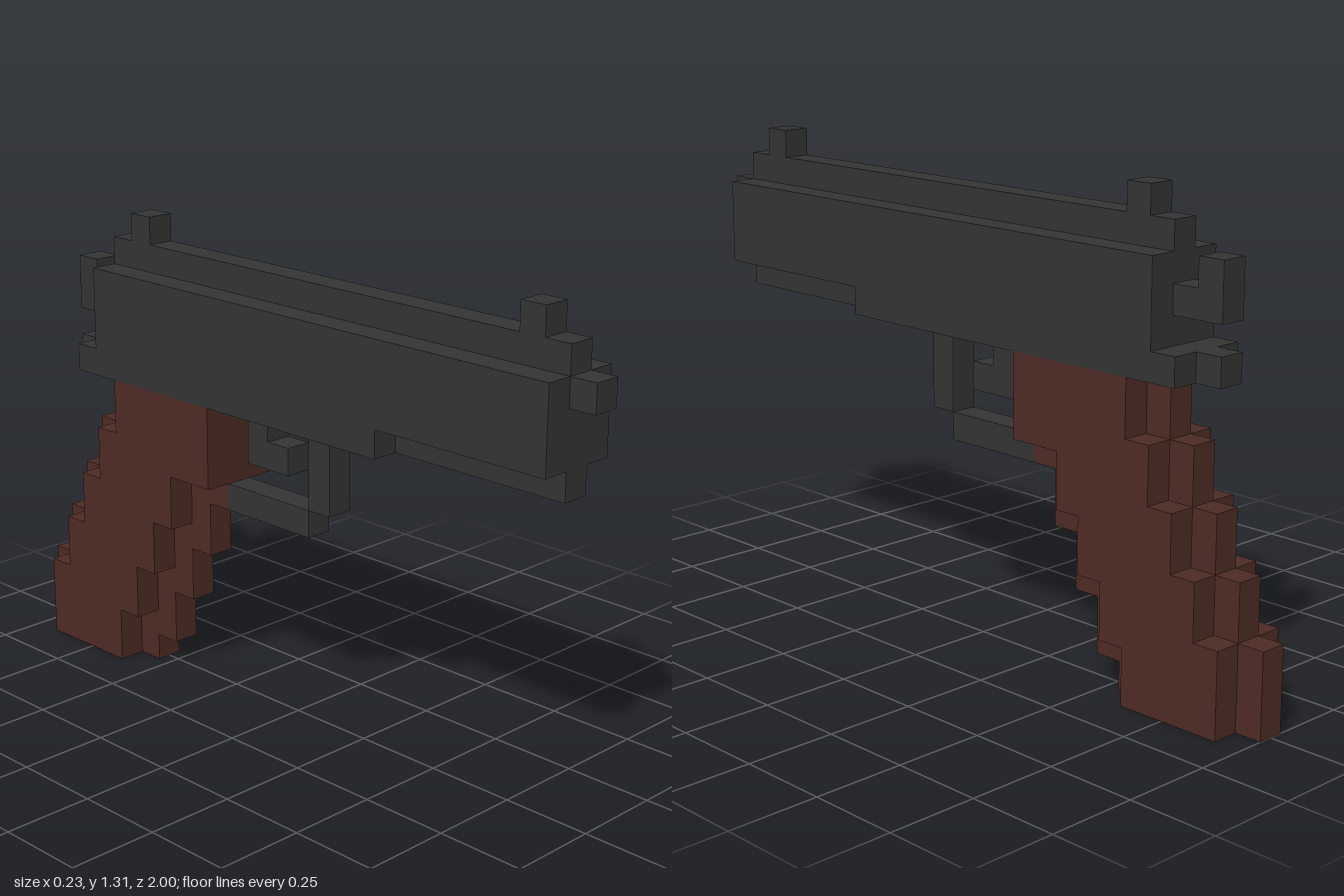
import * as THREE from 'three';

const U = 2 / 26; // one block

// Extrude a side profile of [z, y] block points across the width from x0 to x1
function slab(name, points, x0, x1, material) {
  const shape = new THREE.Shape(points.map(([z, y]) => new THREE.Vector2(z * U, y * U)));
  const geometry = new THREE.ExtrudeGeometry(shape, { depth: (x1 - x0) * U, bevelEnabled: false });
  geometry.rotateY(-Math.PI / 2);
  geometry.translate(x1 * U, 0, 0);
  const mesh = new THREE.Mesh(geometry, material);
  mesh.name = name;
  return mesh;
}

// Rectangular profile
const rect = (z0, z1, y0, y1) => [[z0, y0], [z1, y0], [z1, y1], [z0, y1]];

// Stepped grip profile; each step is [z, bottom, top], listed upward
function stairs(front, back) {
  const points = [];
  front.forEach(([z, y0, y1]) => points.push([z, y0], [z, y1]));
  [...back].reverse().forEach(([z, y0, y1]) => points.push([z, y1], [z, y0]));
  return points;
}

export function createModel() {
  const model = new THREE.Group();
  model.name = 'blockPistol';
  const metal = new THREE.MeshStandardMaterial({ color: 0x343434 });
  metal.name = 'darkMetal';
  const wood = new THREE.MeshStandardMaterial({ color: 0x4d2c23 });
  wood.name = 'brownGrip';

  const center = (name, points, material = metal) =>
    model.add(slab(name, points, -0.5, 0.5, material));
  const sides = (name, points, material = metal) => {
    model.add(slab(name + 'Left', points, 0.5, 1.5, material));
    model.add(slab(name + 'Right', points, -1.5, -0.5, material));
  };

  // Slide and frame: raised centre rib, side plates cut away under the barrel
  center('slideCore', [[-11, 11], [12, 11], [12, 16], [-9, 16], [-9, 12], [-11, 12]]);
  sides('slidePlate', [[-10, 11], [5, 11], [5, 12], [12, 12], [12, 15], [-9, 15], [-9, 12], [-10, 12]]);

  // Muzzle, sights and hammer
  center('muzzle', rect(12, 13, 14, 15));
  center('frontSight', rect(10, 11, 16, 17));
  center('rearSight', rect(-8, -7, 16, 17));
  center('hammer', [[-11, 13], [-9, 13], [-9, 14], [-10, 14], [-10, 15], [-11, 15]]);

  // Trigger and its guard
  center('trigger', [[-2, 9], [0, 9], [0, 10], [-1, 10], [-1, 11], [-2, 11]]);
  center('guardPost', rect(1, 2, 8, 11));
  center('guardBar', rect(-3, 1, 7, 8));

  // Slanted grip: core and two narrower side panels
  center('gripCore', stairs(
    [[-7, 0, 1], [-6, 1, 3], [-5, 3, 5], [-4, 5, 7], [-3, 7, 11]],
    [[-13, 0, 3], [-12, 3, 5], [-11, 5, 7], [-10, 7, 9], [-9, 9, 11]]), wood);
  sides('gripPanel', stairs(
    [[-8, 0, 2], [-7, 2, 4], [-6, 4, 6], [-5, 6, 8], [-3, 8, 11]],
    [[-12, 0, 3], [-11, 3, 5], [-10, 5, 7], [-9, 7, 9], [-8, 9, 11]]), wood);

  return model;
}
